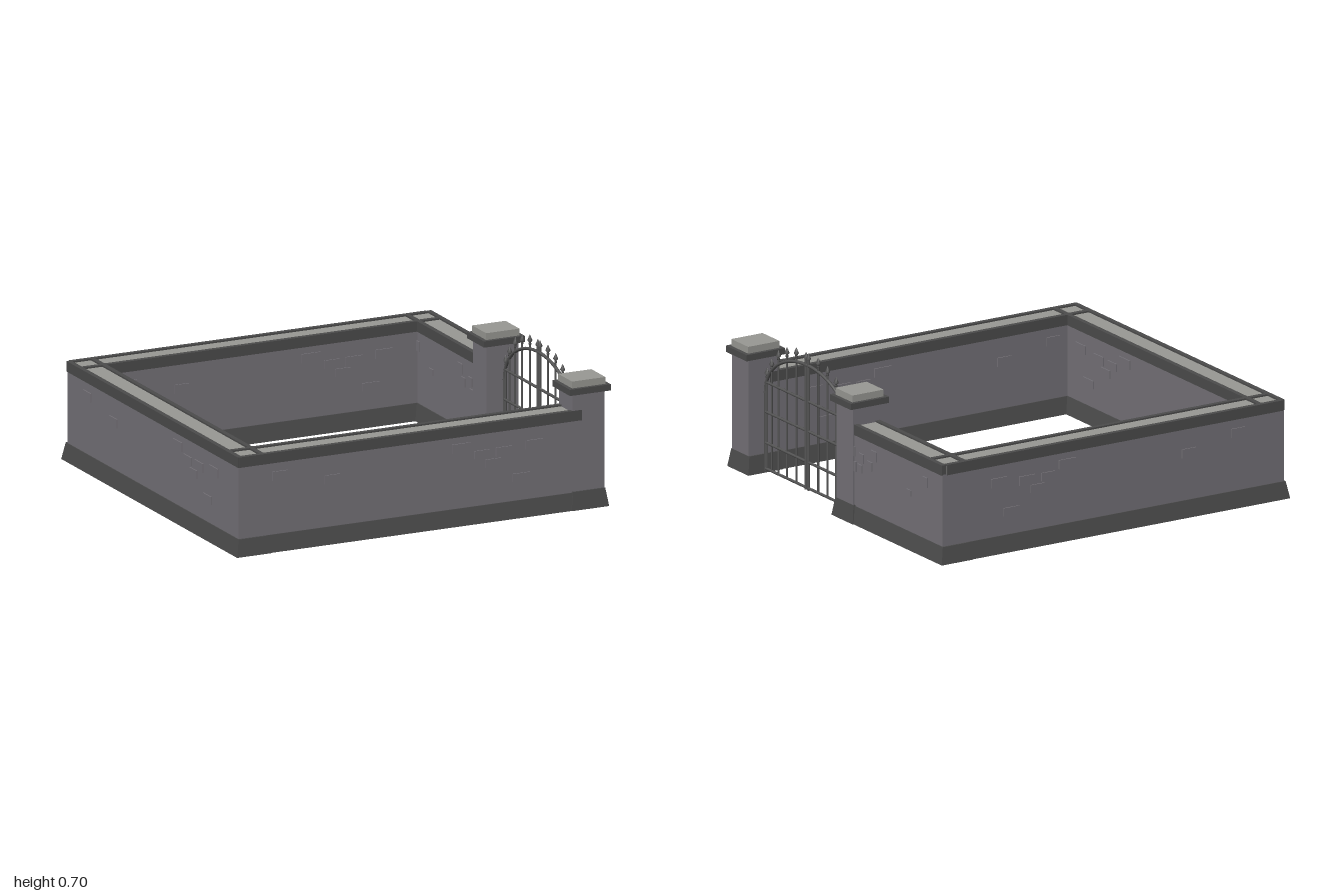
import * as THREE from 'three';

const mat = (color) => new THREE.MeshStandardMaterial({ color });
const stone = mat(0x757278), trim = mat(0x4c4c4c), slab = mat(0x999994), iron = mat(0x555555);

function add(parent, name, geo, material, x = 0, y = 0, z = 0) {
  const m = new THREE.Mesh(geo, material);
  m.name = name;
  m.position.set(x, y, z);
  parent.add(m);
  return m;
}

// Box standing between heights y0 and y1
function block(parent, name, material, w, d, y0, y1, x = 0, z = 0) {
  return add(parent, name, new THREE.BoxGeometry(w, y1 - y0, d), material, x, (y0 + y1) / 2, z);
}

// Plinth on the ground: lower vertical band, upper edge drawn in by `inset`
function plinth(parent, w, d, h, inset, x = 0, z = 0) {
  const geo = new THREE.BoxGeometry(w, h, d, 1, 2, 1);
  const p = geo.attributes.position;
  for (let i = 0; i < p.count; i++) {
    const y = p.getY(i);
    const k = y > 0.001 ? inset : y > -0.001 ? inset * 0.5 : 0;
    p.setX(i, p.getX(i) - Math.sign(p.getX(i)) * k);
    p.setZ(i, p.getZ(i) - Math.sign(p.getZ(i)) * k);
  }
  const flat = geo.toNonIndexed();
  flat.computeVertexNormals();
  return add(parent, 'plinth', flat, trim, x, h / 2, z);
}

// Wall running along local x; bricks are [along, height, width, tall] and poke out on both faces
function wall(name, length, bricks) {
  const g = new THREE.Group();
  g.name = name;
  plinth(g, length + 0.05, 0.18, 0.085, 0.016);
  block(g, 'wallBody', stone, length, 0.14, 0.08, 0.445);
  block(g, 'copingSlab', slab, length - 0.01, 0.12, 0.44, 0.484);
  for (const s of [-1, 1]) block(g, 'copingRim', trim, length, 0.024, 0.44, 0.492, 0, s * 0.061);
  for (const [u, y, w, h] of bricks) block(g, 'brick', stone, w, 0.152, y - h / 2, y + h / 2, u);
  return g;
}

const longBricks = [
  [-0.70, 0.375, 0.08, 0.045], [-0.42, 0.32, 0.08, 0.045],
  [0.27, 0.385, 0.10, 0.045], [0.38, 0.34, 0.08, 0.04], [0.50, 0.34, 0.09, 0.045],
  [0.44, 0.29, 0.08, 0.04], [0.66, 0.355, 0.09, 0.045], [0.59, 0.20, 0.09, 0.04],
];
const shortBricks = [
  [0.37, 0.36, 0.05, 0.05], [0.36, 0.285, 0.05, 0.05], [0.29, 0.34, 0.04, 0.045],
  [0.305, 0.285, 0.04, 0.04], [0.18, 0.38, 0.05, 0.05], [0.215, 0.32, 0.04, 0.045],
  [-0.275, 0.37, 0.04, 0.05], [-0.13, 0.28, 0.04, 0.03],
];

function pillar(name, x, z) {
  const g = new THREE.Group();
  g.name = name;
  plinth(g, 0.2, 0.188, 0.09, 0.014);
  block(g, 'pillarBody', stone, 0.17, 0.146, 0.08, 0.58);
  block(g, 'pillarMoulding', trim, 0.218, 0.186, 0.575, 0.606);
  block(g, 'pillarCap', slab, 0.178, 0.15, 0.6, 0.64);
  g.position.set(x, 0, z);
  return g;
}

// One gate leaf, running from the meeting stile (z = 0) to the hinge (z = 0.37)
const archY = (z) => 0.40 + 0.235 * Math.sqrt(Math.max(0, 1 - (z / 0.372) ** 2));

function leaf(name) {
  const g = new THREE.Group();
  g.name = name;
  const bar = (n, r, y0, y1, z) =>
    add(g, n, new THREE.CylinderGeometry(r, r, y1 - y0, 8), iron, 0, (y0 + y1) / 2, z);

  // Stiles
  bar('meetingStile', 0.008, 0.01, 0.665, 0.011);
  bar('hingeStile', 0.007, 0.01, 0.41, 0.370);

  // Rails
  for (const y of [0.02, 0.15, 0.305, 0.455]) {
    const rail = add(g, 'rail', new THREE.CylinderGeometry(0.007, 0.007, 0.36, 8), iron, 0, y, 0.19);
    rail.rotation.x = Math.PI / 2;
  }

  // Arched top rail
  const pts = [];
  for (let i = 0; i <= 14; i++) {
    const a = (i / 14) * Math.PI / 2;
    pts.push(new THREE.Vector3(0, 0.40 + 0.235 * Math.sin(a), 0.372 * Math.cos(a)));
  }
  add(g, 'archRail', new THREE.TubeGeometry(new THREE.CatmullRomCurve3(pts), 32, 0.008, 8), iron);

  // Pickets with spearheads
  const spear = new THREE.LatheGeometry(
    [[0, 0], [0.007, 0], [0.007, 0.006], [0.005, 0.01], [0.013, 0.02], [0, 0.05]]
      .map(([r, y]) => new THREE.Vector2(r, y)), 8);
  const tops = [[0.011, 0.70], [0.097, 0.70], [0.18, 0.68], [0.255, 0.645], [0.315, 0.585], [0.356, 0.53]];
  tops.forEach(([z, top], i) => {
    if (i > 0) bar('picket', 0.005, 0.02, Math.max(top - 0.045, archY(z)), z);
    add(g, 'spearhead', spear, iron, 0, top - 0.05, z);
  });
  return g;
}

export function createModel() {
  const model = new THREE.Group();
  model.name = 'walledYard';

  // Enclosing walls
  const front = wall('frontWall', 1.83, longBricks);
  front.position.set(-0.06, 0, 0.85);
  const back = wall('backWall', 1.91, longBricks);
  back.position.set(-0.015, 0, -0.856);
  const left = wall('rightSideWall', 1.84, longBricks);
  left.rotation.y = -Math.PI / 2;
  left.position.set(-0.91, 0, 0);
  const right = wall('leftSideWall', 0.85, shortBricks);
  right.rotation.y = -Math.PI / 2;
  right.position.set(0.895, 0, -0.50);
  model.add(front, back, left, right);

  // Gate pillars
  model.add(pillar('frontPillar', 0.89, 0.85), pillar('rearPillar', 0.89, -0.073));

  // Double gate
  const gate = new THREE.Group();
  gate.name = 'gate';
  const frontLeaf = leaf('frontLeaf');
  const rearLeaf = leaf('rearLeaf');
  rearLeaf.rotation.y = Math.PI;
  gate.add(frontLeaf, rearLeaf);
  gate.position.set(0.89, 0, 0.39);
  model.add(gate);

  return model;
}
